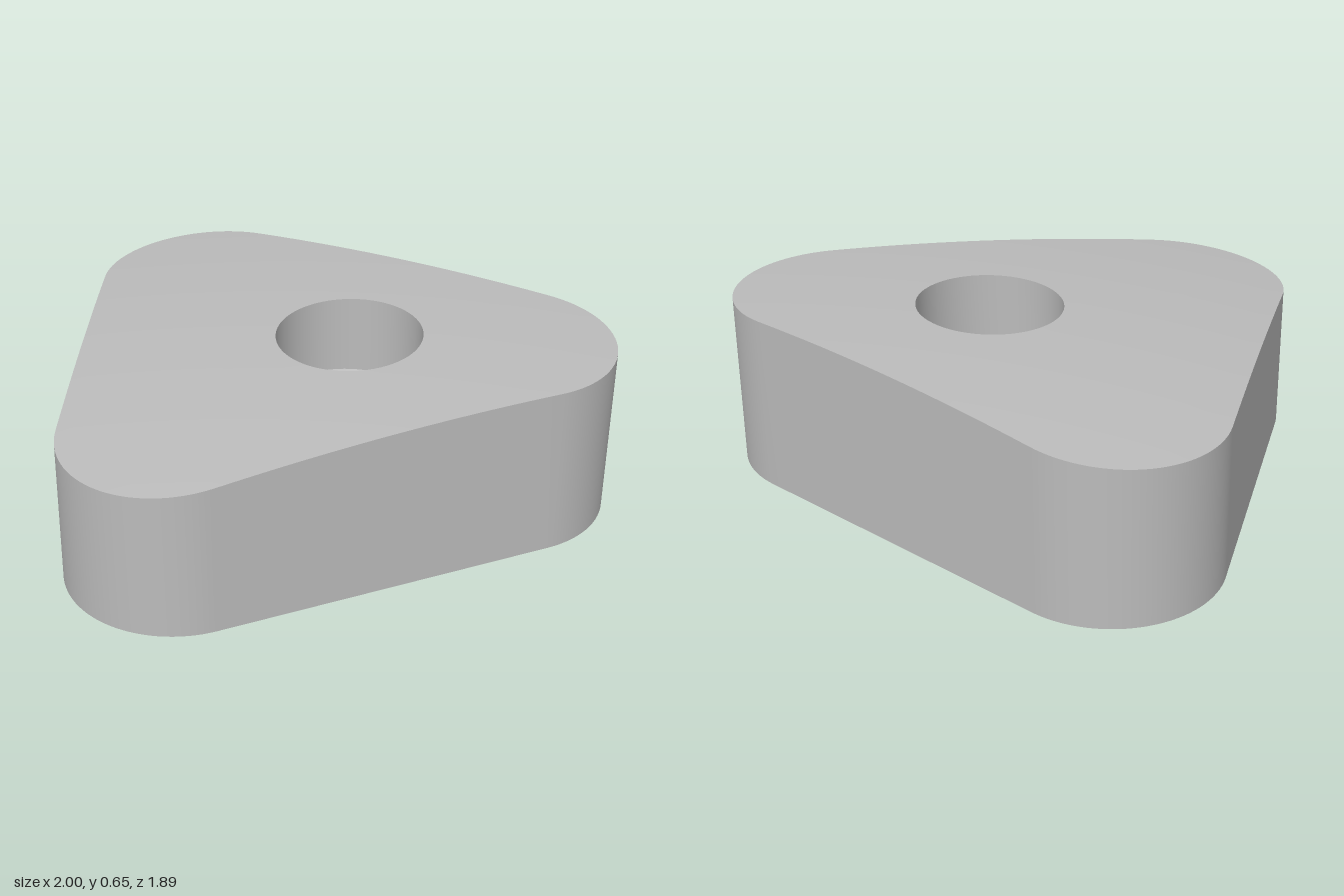
import * as THREE from 'three';

const HOLE = { x: 0.17, z: -0.23 };

// Outline: rounded triangle wrapped around three equal circles
function outline() {
  const r = 0.39;
  const corners = [[0.61, -0.555], [0.055, 0.555], [-0.61, -0.33]];
  const normalAngle = (a, b) => Math.atan2(-(b[0] - a[0]), b[1] - a[1]);
  const pts = [];
  corners.forEach((c, i) => {
    const next = corners[(i + 1) % 3];
    const start = normalAngle(corners[(i + 2) % 3], c);
    const end = normalAngle(c, next);
    const sweep = (end - start + Math.PI * 4) % (Math.PI * 2);
    for (let k = 0; k <= 32; k++) {
      const a = start + sweep * k / 32;
      pts.push([c[0] + r * Math.cos(a), c[1] + r * Math.sin(a)]);
    }
    // Straight side, subdivided so it can follow the crown
    for (let k = 1; k < 20; k++) {
      const t = k / 20;
      pts.push([
        c[0] + (next[0] - c[0]) * t + r * Math.cos(end),
        c[1] + (next[1] - c[1]) * t + r * Math.sin(end),
      ]);
    }
  });
  return pts;
}

// Gently crowned top, highest towards the back
const crown = (x, z) => 0.647 - 0.05 * ((x - 0.3) ** 2 + (z + 0.6) ** 2);

// Skin a closed band through a list of equal-length loops
function band(loops) {
  const n = loops[0].length;
  const index = [];
  for (let j = 0; j < loops.length - 1; j++) {
    for (let i = 0; i < n; i++) {
      const a = j * n + i, b = j * n + (i + 1) % n;
      index.push(a, a + n, b + n, a, b + n, b);
    }
  }
  const g = new THREE.BufferGeometry();
  g.setAttribute('position', new THREE.Float32BufferAttribute(loops.flat(2), 3));
  g.setIndex(index);
  g.computeVertexNormals();
  return g;
}

export function createModel() {
  const group = new THREE.Group();
  group.name = 'crownedBlock';
  const grey = new THREE.MeshStandardMaterial({ color: 0xbbbbbb });
  grey.name = 'plain grey';

  const edge = outline();
  const lift = (pts, y) => pts.map(([x, z]) => [x, typeof y === 'number' ? y : y(x, z), z]);
  // Circle around the hole axis, aligned with the outline points
  const circle = (r) => edge.map(([x, z]) => {
    const a = Math.atan2(z - HOLE.z, x - HOLE.x);
    return [HOLE.x + r * Math.cos(a), HOLE.z + r * Math.sin(a)];
  });
  const add = (name, loops) => {
    const mesh = new THREE.Mesh(band(loops), grey);
    mesh.name = name;
    group.add(mesh);
  };

  const wide = circle(0.26), narrow = circle(0.14);

  add('underside', [lift(narrow, 0), lift(edge, 0)]);
  add('outerWall', [lift(edge, 0), lift(edge, crown)]);

  // Top surface, rings from the outline in to the hole rim
  const rings = [];
  for (let j = 0; j <= 14; j++) {
    const t = j / 14;
    rings.push(lift(edge.map(([x, z], i) => [
      x + (wide[i][0] - x) * t,
      z + (wide[i][1] - z) * t,
    ]), crown));
  }
  add('crownedTop', rings);

  // Stepped screw hole: wide bore, conical seat, narrow bore
  add('wideBore', [lift(wide, crown), lift(wide, 0.35)]);
  add('conicalSeat', [lift(wide, 0.35), lift(narrow, 0.21)]);
  add('narrowBore', [lift(narrow, 0.21), lift(narrow, 0)]);

  return group;
}
